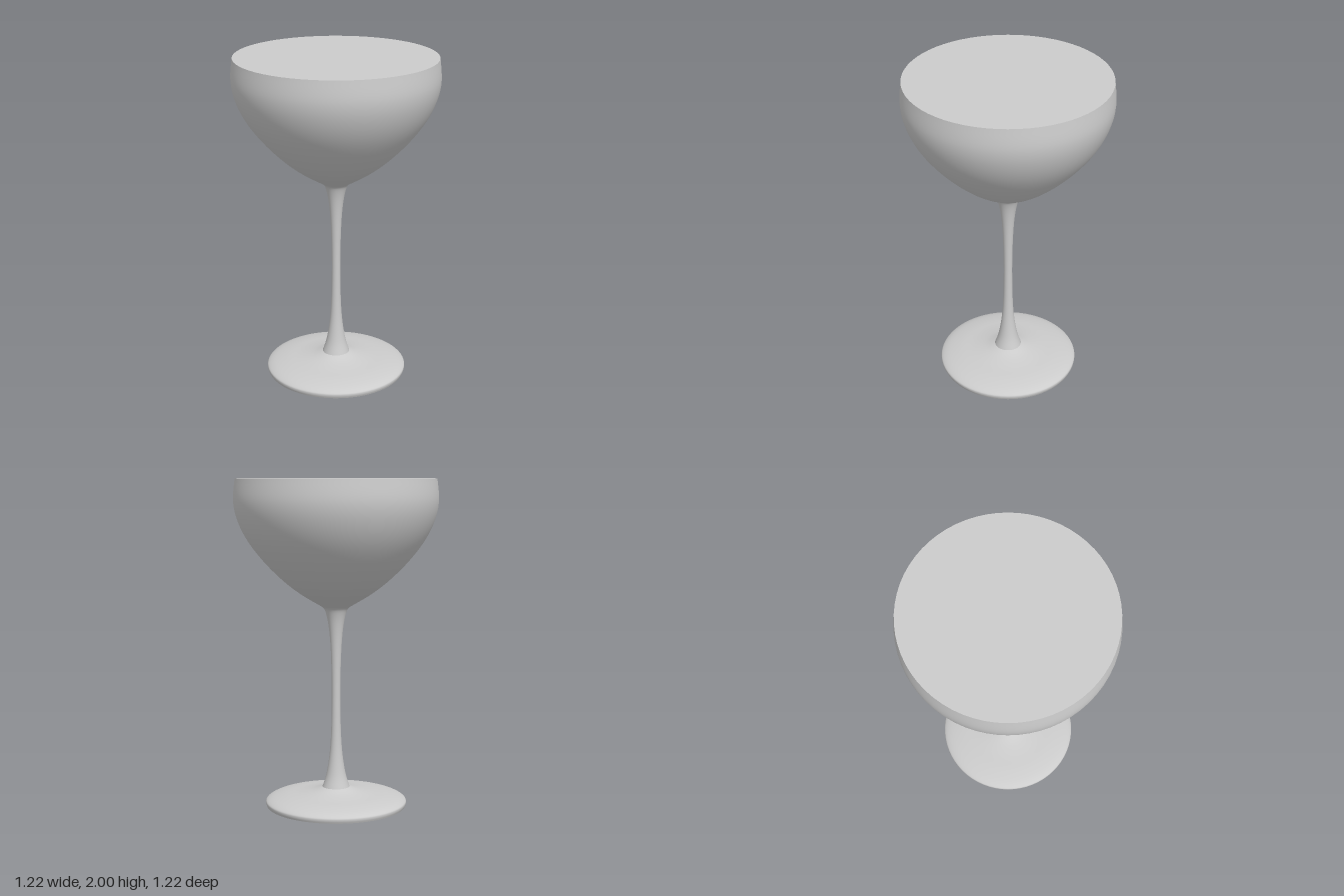
import * as THREE from 'three';

const SEGMENTS = 64;

// Smooth profile through a few [radius, height] points
function curved(points, samples) {
  return new THREE.SplineCurve(points.map(([r, y]) => new THREE.Vector2(r, y))).getPoints(samples);
}

export function createModel() {
  const group = new THREE.Group();
  group.name = 'coupeGlass';
  const material = new THREE.MeshStandardMaterial({ color: 0xcccccc });

  function turned(name, profile) {
    const mesh = new THREE.Mesh(new THREE.LatheGeometry(profile, SEGMENTS), material);
    mesh.name = name;
    group.add(mesh);
  }

  function disc(name, radius, y, facing) {
    const mesh = new THREE.Mesh(new THREE.CircleGeometry(radius, SEGMENTS), material);
    mesh.name = name;
    mesh.rotation.x = -facing * Math.PI / 2;
    mesh.position.y = y;
    group.add(mesh);
  }

  // Foot: shallow dome with a rounded edge
  turned('foot', curved([
    [0.425, 0.012], [0.431, 0.03], [0.425, 0.046], [0.385, 0.064],
    [0.31, 0.08], [0.22, 0.091], [0.14, 0.106], [0.083, 0.125],
  ], 32));

  // Underside, very slightly lower at the centre
  turned('footUnderside', [[0, 0], [0.23, 0.002], [0.425, 0.012]].map(([r, y]) => new THREE.Vector2(r, y)));

  // Stem: slender, flared at both ends
  turned('stem', curved([
    [0.083, 0.125], [0.06, 0.2], [0.042, 0.31], [0.032, 0.43], [0.027, 0.6], [0.027, 0.8],
    [0.034, 1.0], [0.047, 1.13], [0.066, 1.21], [0.085, 1.235],
  ], 40));

  // Bowl: wide, closing in a little at the rim
  turned('bowl', curved([
    [0.085, 1.235], [0.21, 1.31], [0.32, 1.395], [0.435, 1.51], [0.53, 1.635],
    [0.588, 1.755], [0.611, 1.87], [0.6, 2.0],
  ], 40));

  // Flat fill level with the rim
  disc('drinkSurface', 0.6, 2.0, 1);

  return group;
}
